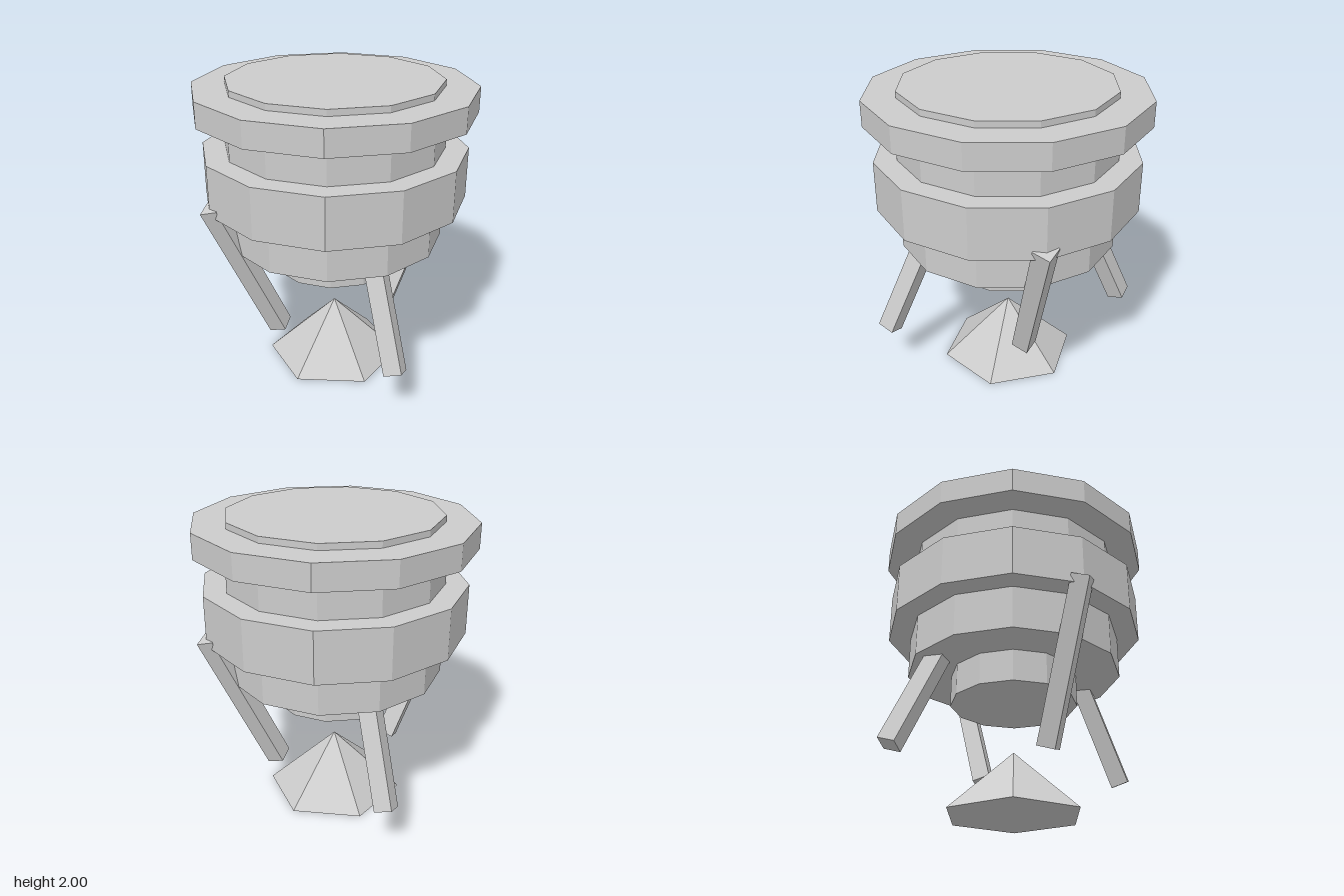
import * as THREE from 'three';

const material = new THREE.MeshStandardMaterial({ color: 0xcccccc, flatShading: true });

function addMesh(parent, name, geometry, x, y, z) {
  const mesh = new THREE.Mesh(geometry, material);
  mesh.name = name;
  mesh.position.set(x, y, z);
  parent.add(mesh);
  return mesh;
}

export function createModel() {
  const model = new THREE.Group();
  model.name = 'lander';

  // Stacked twelve-sided hull: name, radius, bottom, top
  const hull = new THREE.Group();
  hull.name = 'hull';
  model.add(hull);
  const sections = [
    ['engineHousing', 0.42, 0.74, 0.95],
    ['mainBody', 0.712, 0.95, 1.8],
    ['middleRing', 0.86, 1.228, 1.56],
    ['upperRing', 0.905, 1.796, 1.96],
    ['topCap', 0.692, 1.95, 2],
  ];
  for (const [name, radius, bottom, top] of sections) {
    const geometry = new THREE.CylinderGeometry(radius, radius, top - bottom, 12);
    addMesh(hull, name, geometry, 0, (bottom + top) / 2, 0);
  }

  // Detached six-sided cone beneath the hull
  addMesh(model, 'exhaustCone', new THREE.ConeGeometry(0.46, 0.415, 6), 0, 0.2075, 0);

  // Diamond-section legs: the side pair leans in at the foot, the front and back pair out
  const legGeometry = new THREE.CylinderGeometry(0.083, 0.083, 1.052, 4);
  const tilt = 0.42;
  for (const side of [1, -1]) {
    const sideLeg = addMesh(model, side > 0 ? 'leftLeg' : 'rightLeg', legGeometry, 0.63 * side, 0.805, 0);
    sideLeg.rotation.z = -tilt * side;
    const endLeg = addMesh(model, side > 0 ? 'frontLeg' : 'backLeg', legGeometry, 0, 0.805, 0.63 * side);
    endLeg.rotation.x = -tilt * side;
  }

  return model;
}
